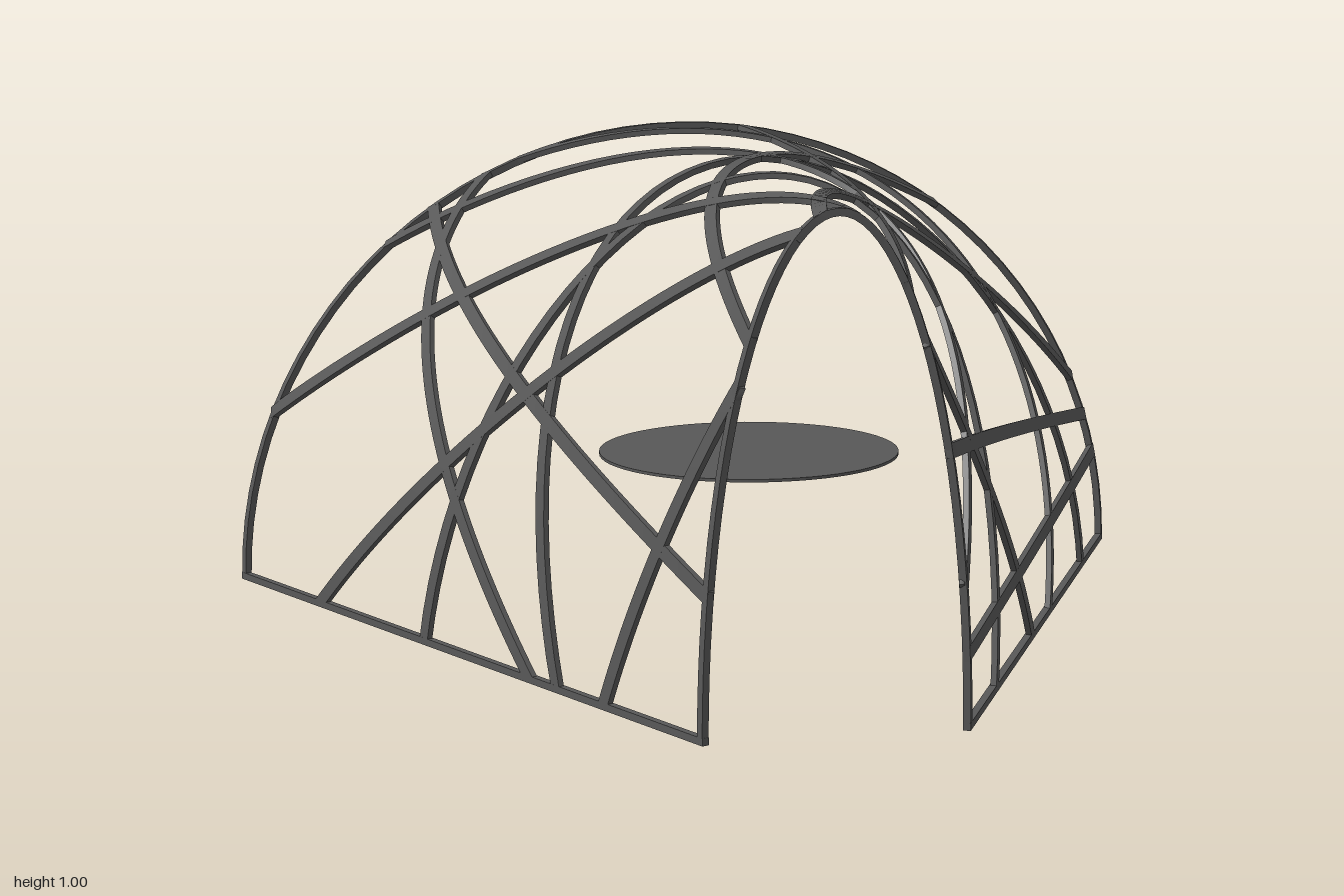
import * as THREE from 'three';
import { toCreasedNormals } from 'three/addons/utils/BufferGeometryUtils.js';

const material = new THREE.MeshStandardMaterial({ color: 0x585858, side: THREE.DoubleSide });
const rad = THREE.MathUtils.degToRad;

// Vault surface: a narrow front arch ruled to a wide back arch.
// deg runs 0 (+x foot) to 180 (-x foot), t runs 0 (front) to 1 (back).
const frontZ = (x) => 0.786 + 0.02 * x;
const backZ = (x) => -0.77 + 0.022 * x;
function vault(deg, t) {
  const c = Math.cos(rad(deg)), s = Math.sin(rad(deg));
  const xFront = -0.034 + 0.258 * c, xBack = -0.001 + 0.999 * c;
  const front = new THREE.Vector3(xFront, s, frontZ(xFront));
  const back = new THREE.Vector3(xBack, s, backZ(xBack));
  return front.lerp(back, t);
}

function vaultNormal(deg, t) {
  const e = 0.01;
  const across = vault(deg + e, t).sub(vault(deg - e, t));
  const along = vault(deg, t + e).sub(vault(deg, t - e));
  const n = across.cross(along).normalize();
  const out = n.x * Math.cos(rad(deg)) + n.y * Math.sin(rad(deg));
  return out < 0 ? n.negate() : n;
}

// Flat bar following a straight line in (deg, t) over the vault,
// trimmed flush with the ground and the two end planes
function strip(name, [d0, t0], [d1, t1], width = 0.029, depth = 0.012) {
  const steps = 48, positions = [], index = [];
  const at = (f) => [d0 + (d1 - d0) * f, t0 + (t1 - t0) * f];
  for (let i = 0; i <= steps; i++) {
    const f = i / steps;
    const p = vault(...at(f));
    const tangent = vault(...at(f + 0.002)).sub(vault(...at(f - 0.002))).normalize();
    const n = vaultNormal(...at(f));
    const b = tangent.clone().cross(n).normalize();
    for (const [u, v] of [[0, -1], [0, 1], [-1, 1], [-1, -1]]) {
      const q = p.clone().addScaledVector(n, u * depth).addScaledVector(b, v * width / 2);
      const z = THREE.MathUtils.clamp(q.z, backZ(q.x), frontZ(q.x));
      positions.push(q.x, Math.max(q.y, 0), z);
    }
  }
  for (let i = 0; i < steps; i++) {
    for (let j = 0; j < 4; j++) {
      const a = i * 4 + j, b = i * 4 + (j + 1) % 4;
      index.push(a, b, b + 4, a, b + 4, a + 4);
    }
  }
  const e = steps * 4;
  index.push(0, 2, 1, 0, 3, 2, e, e + 1, e + 2, e, e + 2, e + 3);
  const geometry = new THREE.BufferGeometry();
  geometry.setAttribute('position', new THREE.Float32BufferAttribute(positions, 3));
  geometry.setIndex(index);
  const mesh = new THREE.Mesh(toCreasedNormals(geometry, rad(40)), material);
  mesh.name = name;
  return mesh;
}

export function createModel() {
  const model = new THREE.Group();

  // Border: two end arches and two ground rails
  const frame = new THREE.Group();
  frame.name = 'frame';
  frame.add(
    strip('frontArch', [0, 0.005], [180, 0.005], 0.016, 0.015),
    strip('backArch', [0, 0.995], [180, 0.995], 0.016, 0.015),
    strip('leftRail', [0.4, 0], [0.4, 1], 0.016, 0.015),
    strip('rightRail', [179.6, 0], [179.6, 1], 0.016, 0.015)
  );
  model.add(frame);

  // Crossing lattice bars, each from one edge of the vault to another
  const foot = (deg, z) => [deg, (frontZ(0) - z) / (frontZ(0) - backZ(0))];
  const bars = [
    [foot(180, 0.35), foot(0, -0.5)],
    [foot(180, -0.09), foot(0, 0.52)],
    [foot(0, -0.08), [112, 1]],
    [[48.6, 0], foot(0, 0.12)],
    [[8.6, 0], [12.4, 1]],
    [[32.7, 0], [17.5, 1]],
    [[163.7, 0], [124, 1]],
    [foot(180, 0.27), [116, 1]],
    [[137, 0], foot(180, 0.49)],
    [[107, 0], foot(180, -0.475)],
    [[58, 0], [82, 1]],
    [[131, 0], [53.7, 1]],
    [[16, 0], [132, 1]],
    [[84, 0], [158, 1]],
    [[98, 0], [23, 1]]
  ];
  const lattice = new THREE.Group();
  lattice.name = 'lattice';
  for (const [from, to] of bars) lattice.add(strip('latticeBar', from, to));
  model.add(lattice);

  // Thin round table top floating inside
  const disc = new THREE.Mesh(new THREE.CylinderGeometry(0.307, 0.307, 0.006, 64), material);
  disc.name = 'disc';
  disc.position.set(-0.03, 0.404, 0.03);
  model.add(disc);

  return model;
}
